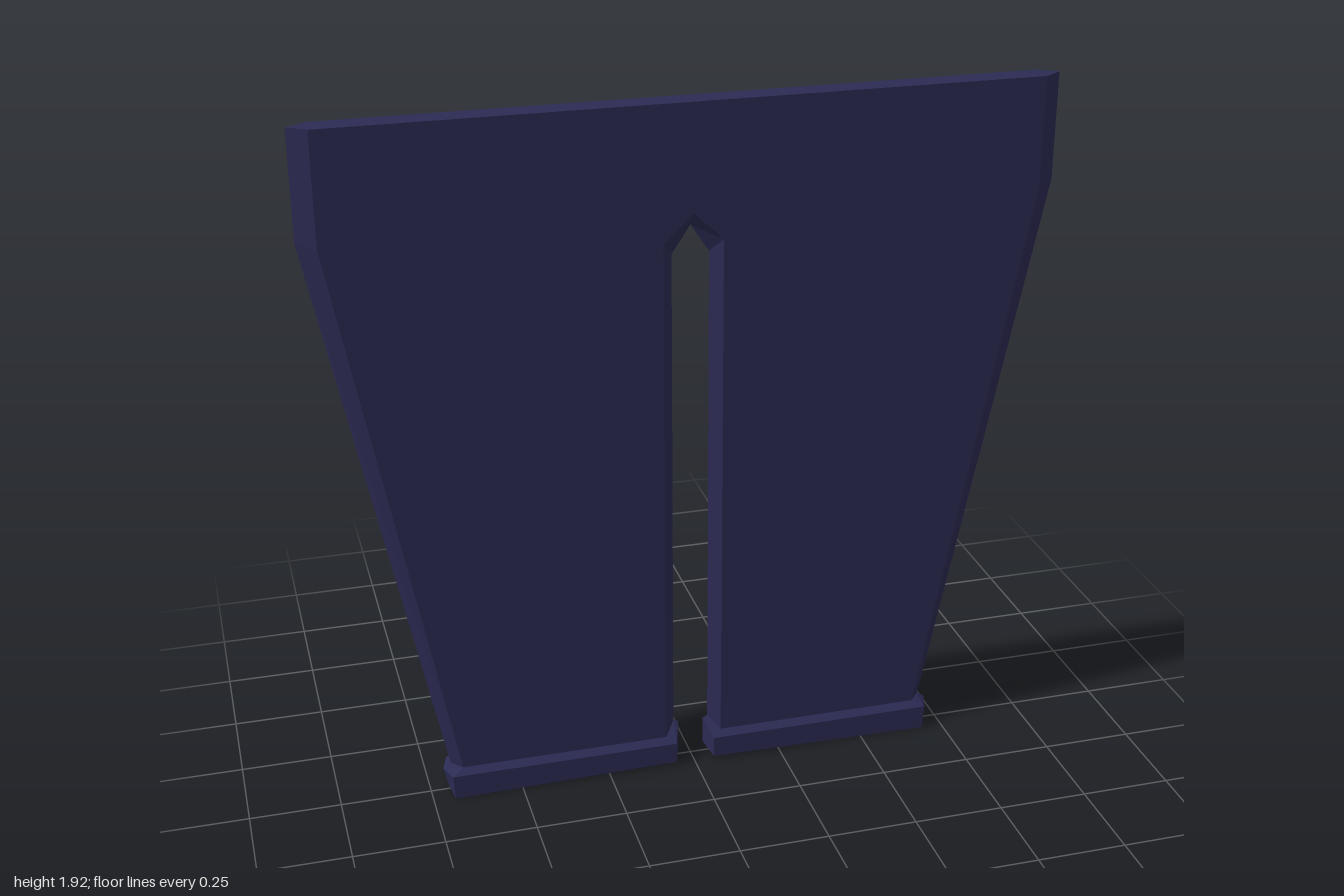
import * as THREE from 'three';

const cloth = new THREE.MeshStandardMaterial({ color: 0x2c2b54, flatShading: true });

// Skin closed rings of [x, y, z] points, then cap chosen ends with flat triangles
function loft(name, rings, caps) {
  const pos = [];
  const tri = (...pts) => pts.forEach((p) => pos.push(...p));
  for (let r = 0; r < rings.length - 1; r++) {
    const a = rings[r], b = rings[r + 1], n = a.length;
    for (let i = 0; i < n; i++) {
      const j = (i + 1) % n;
      tri(a[i], a[j], b[j]);
      tri(a[i], b[j], b[i]);
    }
  }
  // each cap: ring, its flat 2D projection, and whether to flip the corners
  for (const { ring, flat, flip } of caps) {
    const faces = THREE.ShapeUtils.triangulateShape(ring.map(flat), []);
    for (const [a, b, c] of faces) {
      if (flip) tri(ring[a], ring[c], ring[b]);
      else tri(ring[a], ring[b], ring[c]);
    }
  }
  const geo = new THREE.BufferGeometry();
  geo.setAttribute('position', new THREE.Float32BufferAttribute(pos, 3));
  geo.computeVertexNormals();
  const mesh = new THREE.Mesh(geo, cloth);
  mesh.name = name;
  return mesh;
}

// Full outline from its +x half, which starts at the crotch on the centre line
const outline = (half, z) => [
  ...half,
  ...half.slice(1).reverse().map(([x, y]) => [-x, y]),
].map(([x, y]) => [x, y, z]);

// Flat trouser body: two faces whose side edges meet in a ridge at z = 0
function createBody() {
  const face = [[0, 1.63], [0.08, 1.555], [0.08, 0.05], [0.655, 0.05], [0.95, 1.62], [0.95, 1.92]];
  const ridge = [[0, 1.59], [0.05, 1.515], [0.05, 0.05], [0.685, 0.05], [1, 1.63], [1, 1.92]];
  const back = outline(face, -0.035), front = outline(face, 0.035);
  const flat = ([x, y]) => new THREE.Vector2(x, y);
  return loft('trouserBody', [back, outline(ridge, 0), front], [
    { ring: back, flat, flip: true },
    { ring: front, flat, flip: false },
  ]);
}

// Six-sided ring: outer tip, outer corner, inner corner, inner tip, each as [x, y]
const hexRing = (tipOut, out, inn, tipIn, z) => [
  [...tipOut, 0], [...out, -z], [...inn, -z], [...tipIn, 0], [...inn, z], [...out, z],
];

// Cuff band with a shallow opening underneath
function createCuff(name) {
  const recess = hexRing([0.68, 0.05], [0.655, 0.05], [0.085, 0.05], [0.06, 0.05], 0.032);
  const rings = [
    recess,
    hexRing([0.68, 0.01], [0.655, 0.005], [0.085, 0.01], [0.06, 0.025], 0.032),
    hexRing([0.7, 0.01], [0.69, 0], [0.055, 0.01], [0.036, 0.03], 0.055),
    hexRing([0.713, 0.07], [0.695, 0.07], [0.055, 0.07], [0.036, 0.11], 0.055),
    hexRing([0.69, 0.085], [0.66, 0.085], [0.08, 0.085], [0.05, 0.115], 0.035),
  ];
  const flat = ([x, , z]) => new THREE.Vector2(x, -z);
  return loft(name, rings, [{ ring: recess, flat, flip: true }]);
}

export function createModel() {
  const model = new THREE.Group();
  model.name = 'trousers';
  const leftCuff = createCuff('leftCuff');
  const rightCuff = createCuff('rightCuff');
  rightCuff.rotation.y = Math.PI;
  model.add(createBody(), leftCuff, rightCuff);
  return model;
}
